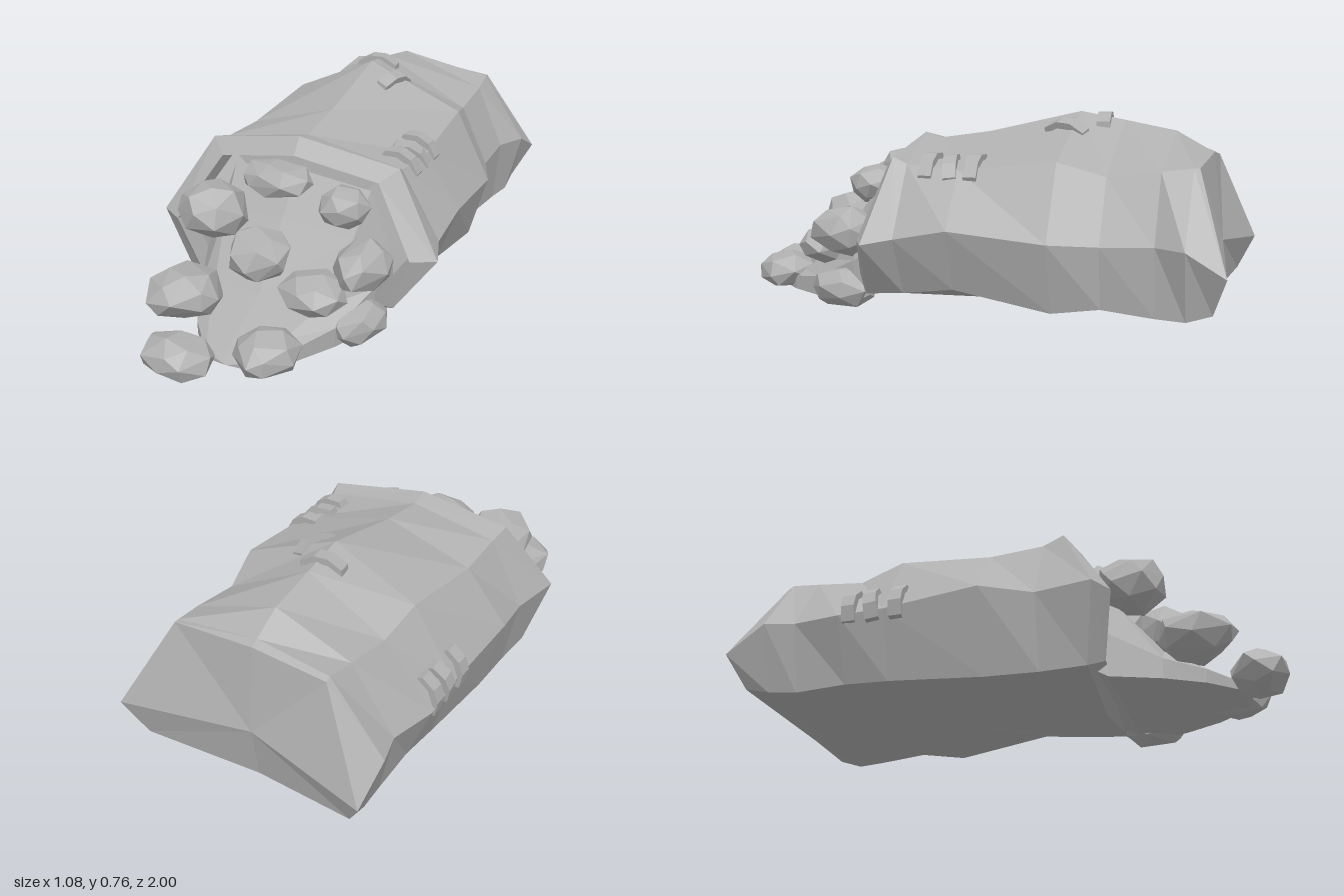
import * as THREE from 'three';
import { ConvexGeometry } from 'three/addons/geometries/ConvexGeometry.js';

const grey = new THREE.MeshStandardMaterial({ color: 0xb0b0b0, flatShading: true });
grey.name = 'grey';

// Skin closed rings of points (front to back, counterclockwise seen from +z), with a hub at each end
function loft(rings, frontHub, backHub) {
  const v = [];
  const tri = (a, b, c) => v.push(...a, ...b, ...c);
  const n = rings[0].length;
  const last = rings[rings.length - 1];
  for (let j = 0; j < n; j++) {
    const k = (j + 1) % n;
    tri(frontHub, rings[0][j], rings[0][k]);
    for (let i = 0; i + 1 < rings.length; i++) {
      const a = rings[i], b = rings[i + 1];
      tri(a[j], b[j], a[k]);
      tri(a[k], b[j], b[k]);
    }
    tri(backHub, last[k], last[j]);
  }
  const g = new THREE.BufferGeometry();
  g.setAttribute('position', new THREE.Float32BufferAttribute(v, 3));
  g.computeVertexNormals();
  return g;
}

function add(parent, name, geometry) {
  const mesh = new THREE.Mesh(geometry, grey);
  mesh.name = name;
  parent.add(mesh);
  return mesh;
}

// Sack: body rings, flared rim, shallow mouth and pinched back end
function sackGeometry() {
  // z, topY, shoulder xLow, xHigh, y, side xLow, xHigh, y, bottom xLow, y, xHigh, y, bottom middle y
  const body = [
    [0.18, 0.65, -0.37, 0.35, 0.585, -0.5, 0.5, 0.33, -0.44, 0.055, 0.4, 0.115, 0.03],
    [-0.02, 0.68, -0.37, 0.36, 0.57, -0.53, 0.5, 0.37, -0.44, 0.06, 0.42, 0.145, 0.02],
    [-0.38, 0.765, -0.35, 0.35, 0.61, -0.51, 0.49, 0.34, -0.43, 0.09, 0.42, 0.085, 0.08],
    [-0.55, 0.735, -0.33, 0.31, 0.56, -0.52, 0.42, 0.33, -0.42, 0.1, 0.39, 0.105, 0.05],
    [-0.74, 0.7, -0.32, 0.31, 0.585, -0.48, 0.42, 0.34, -0.42, 0.09, 0.4, 0.09, 0.015],
    [-0.85, 0.64, -0.31, 0.3, 0.6, -0.51, 0.48, 0.34, -0.43, 0.1, 0.42, 0.09, 0.055],
  ].map(([z, t, sl, sr, sy, xl, xr, xy, bl, bly, br, bry, cy]) => [
    [-0.03, t, z], [sl, sy, z], [xl, xy, z], [bl, bly, z],
    [-0.02, cy, z], [br, bry, z], [xr, xy, z], [sr, sy, z],
  ]);
  const rim = [
    [-0.03, 0.67, 0.25], [-0.385, 0.61, 0.26], [-0.54, 0.33, 0.39], [-0.45, 0.055, 0.35],
    [-0.02, 0.035, 0.33], [0.39, 0.1, 0.33], [0.54, 0.31, 0.29], [0.36, 0.61, 0.23],
  ];
  const inset = (s, dz) => rim.map(([x, y, z]) => [x * s, 0.31 + (y - 0.31) * s, z + dz]);
  const end = [
    [-0.03, 0.625, -0.88], [-0.31, 0.59, -0.87], [-0.5, 0.24, -1], [-0.43, 0.12, -0.94],
    [-0.02, 0.08, -0.88], [0.42, 0.12, -0.94], [0.49, 0.26, -0.99], [0.3, 0.6, -0.87],
  ];
  return loft([inset(0.81, -0.02), inset(0.84, 0.05), rim, ...body, end],
    [0, 0.31, 0.27], [-0.03, 0.3, -0.92]);
}

// Steep heap with a flat tongue running out of the mouth: z, half width, height, floor
function heapGeometry() {
  const rings = [
    [0.84, 0.09, 0.07, 0.05], [0.72, 0.2, 0.13, 0.05], [0.58, 0.28, 0.19, 0.05],
    [0.4, 0.35, 0.41, 0.05], [0.29, 0.37, 0.56, 0.11],
  ].map(([z, w, h, f]) => [
    [-0.02, h, z], [-w * 0.75, h * 0.95, z], [-w, 0.05 + h * 0.4, z], [-w, f, z],
    [w, f, z], [w, 0.05 + h * 0.4, z], [w * 0.75, h * 0.95, z],
  ]);
  return loft(rings, [0, 0.06, 0.86], [0, 0.3, 0.28]);
}

// Faceted lump: hull of jittered points spread over an ellipsoid
function lumpGeometry(seed, rx, ry, rz) {
  let s = seed * 7919 + 13;
  const rnd = () => (s = (s * 16807) % 2147483647) / 2147483647;
  const pts = [];
  const n = 22;
  for (let i = 0; i < n; i++) {
    const y = 1 - (2 * (i + 0.5)) / n;
    const a = i * 2.39996 + seed + rnd() * 0.5;
    const r = Math.sqrt(1 - y * y);
    const k = 0.98 + rnd() * 0.14;
    pts.push(new THREE.Vector3(Math.cos(a) * r * k * rx, y * k * ry, Math.sin(a) * r * k * rz));
  }
  return new ConvexGeometry(pts);
}

// Short thread that bends down at both ends
function stitchGeometry(length) {
  const g = new THREE.BoxGeometry(length, 0.025, 0.05, 3, 1, 1);
  const p = g.attributes.position;
  for (let i = 0; i < p.count; i++) {
    if (Math.abs(p.getX(i)) > length * 0.4) p.setY(i, p.getY(i) - 0.03);
  }
  g.computeVertexNormals();
  return g;
}

export function createModel() {
  const model = new THREE.Group();
  model.name = 'spilledSack';

  add(model, 'sack', sackGeometry());
  add(model, 'heap', heapGeometry());

  // Lumps: x, y, z, then half sizes
  const lumps = new THREE.Group();
  lumps.name = 'lumps';
  model.add(lumps);
  [
    [-0.265, 0.43, 0.48, 0.13, 0.1, 0.125],
    [-0.07, 0.535, 0.35, 0.14, 0.065, 0.09],
    [0.21, 0.485, 0.36, 0.09, 0.075, 0.1],
    [-0.03, 0.335, 0.56, 0.12, 0.095, 0.115],
    [0.32, 0.32, 0.45, 0.095, 0.09, 0.13],
    [0.19, 0.245, 0.57, 0.12, 0.075, 0.11],
    [-0.255, 0.2, 0.7, 0.13, 0.085, 0.14],
    [-0.17, 0.075, 0.9, 0.138, 0.075, 0.098],
    [0.125, 0.11, 0.79, 0.11, 0.075, 0.12],
    [0.315, 0.105, 0.455, 0.098, 0.08, 0.13],
  ].forEach(([x, y, z, rx, ry, rz], i) => {
    add(lumps, 'lump', lumpGeometry(i + 1, rx, ry, rz)).position.set(x, y, z);
  });

  // Stitches: x, y, z, sideways tilt, turn, length
  const stitches = new THREE.Group();
  stitches.name = 'stitches';
  model.add(stitches);
  [
    [0.33, 0.6, -0.07, -0.5, 0, 0.15],
    [0.33, 0.595, 0.02, -0.5, 0.2, 0.15],
    [0.33, 0.6, 0.1, -0.5, 0, 0.15],
    [-0.51, 0.38, -0.51, 1.25, 0, 0.15],
    [-0.51, 0.38, -0.43, 1.25, 0.15, 0.15],
    [-0.51, 0.38, -0.33, 1.25, 0, 0.15],
    [-0.04, 0.75, -0.47, 0, 0.1, 0.16],
    [0.09, 0.725, -0.35, -0.35, 1.3, 0.16],
  ].forEach(([x, y, z, tilt, turn, length]) => {
    const stitch = add(stitches, 'stitch', stitchGeometry(length));
    stitch.position.set(x, y, z);
    stitch.rotation.set(0, turn, tilt, 'ZYX');
  });

  return model;
}
